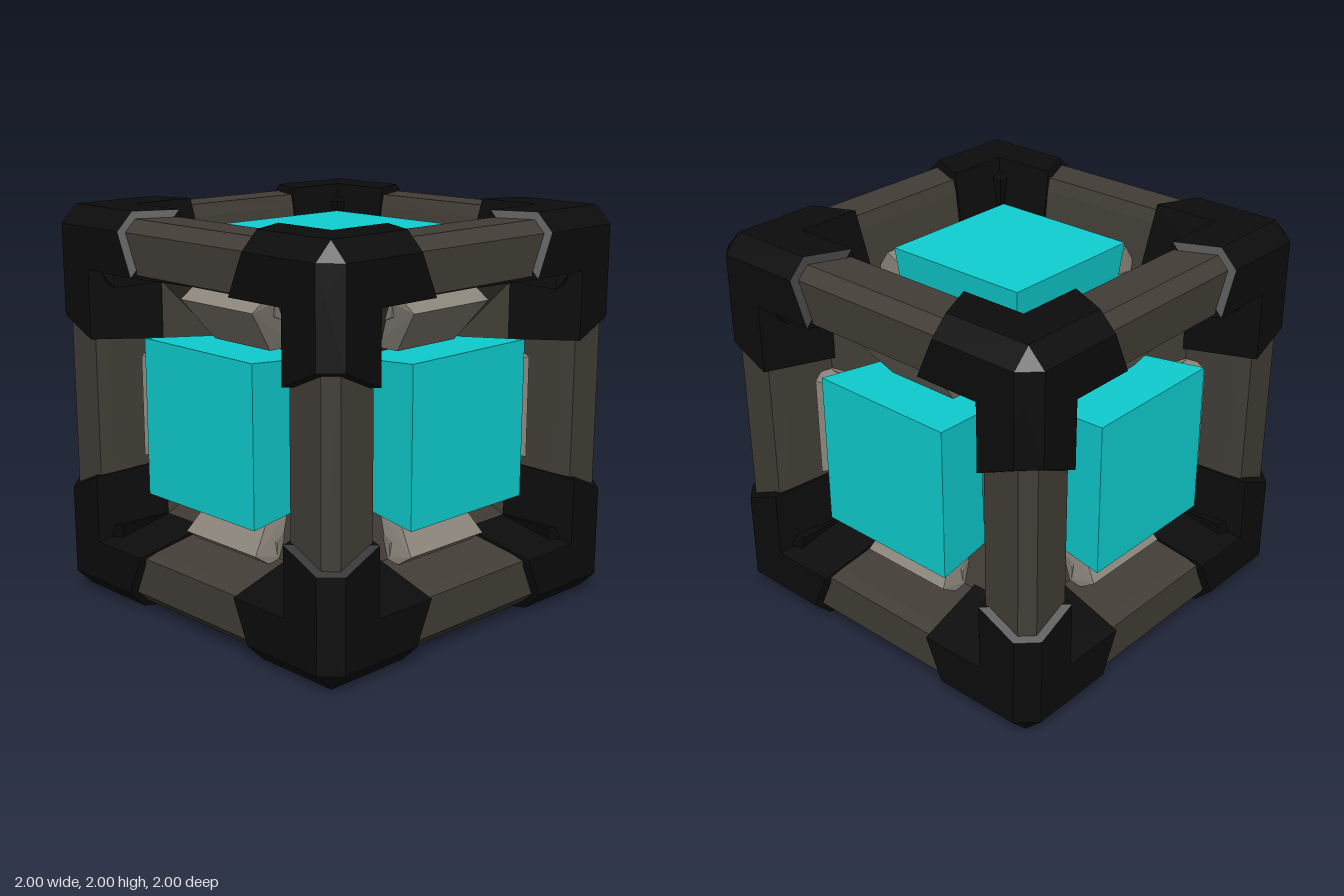
import * as THREE from 'three';
import { ConvexGeometry } from 'three/addons/geometries/ConvexGeometry.js';

const mat = (name, color, side = THREE.FrontSide) => {
  const m = new THREE.MeshStandardMaterial({ color, side });
  m.name = name;
  return m;
};

// Flat-shaded four-sided frustum along y, given half widths at top and bottom
function frustum(top, bottom, y0, y1, open) {
  const r = Math.SQRT2;
  const g = new THREE.CylinderGeometry(top * r, bottom * r, y1 - y0, 4, 1, open);
  g.rotateY(Math.PI / 4).translate(0, (y0 + y1) / 2, 0);
  const flat = g.toNonIndexed();
  flat.computeVertexNormals();
  return flat;
}

// Place a point given along an edge (a) and across it (p, q) on the chosen axis
function along(axis, a, p, q) {
  const c = [0, 0, 0];
  c[axis] = a;
  c[(axis + 1) % 3] = p;
  c[(axis + 2) % 3] = q;
  return new THREE.Vector3(...c);
}

export function createModel() {
  const black = mat('black armour', 0x0c0c0c);
  const brown = mat('dark brown metal', 0x423d36, THREE.DoubleSide);
  const grey = mat('warm grey metal', 0x8c867c);
  const cyan = mat('cyan panel', 0x0fd0d2);

  const model = new THREE.Group();
  const cube = new THREE.Group();
  cube.name = 'crate';
  cube.position.y = 1;
  model.add(cube);
  const add = (parent, name, geometry, material) => {
    const m = new THREE.Mesh(geometry, material);
    m.name = name;
    parent.add(m);
    return m;
  };

  // Cross-section of the edge beams, and of the corner sleeves with the end position at each point
  const beam = [[0.905, 0.965], [0.965, 0.905], [0.965, 0.71], [0.9, 0.688],
    [0.63, 0.63], [0.688, 0.9], [0.71, 0.965]];
  const sleeve = [[0.91, 1, 0.45], [1, 0.91, 0.45], [1, 0.7, 0.355], [0.61, 0.61, 0.32], [0.7, 1, 0.355]];

  for (let axis = 0; axis < 3; axis++) {
    for (const sp of [-1, 1]) for (const sq of [-1, 1]) {
      // Beam along one edge of the cube
      const pts = [];
      for (const [p, q] of beam)
        for (const a of [-0.55, 0.55]) pts.push(along(axis, a, p * sp, q * sq));
      add(cube, 'edgeBeam', new ConvexGeometry(pts), brown);

      // Corner sleeves wrapping both ends of the beam
      for (const s of [-1, 1]) {
        const arm = [along(axis, s, 0.91 * sp, 0.91 * sq)];
        for (const [p, q, end] of sleeve)
          for (const a of [end, 0.91]) arm.push(along(axis, a * s, p * sp, q * sq));
        add(cube, 'cornerSleeve', new ConvexGeometry(arm), black);
      }
    }
  }

  // Wedge bracket between panel and beam: half width, height, distance from the middle
  const wedgePoints = [];
  for (const [w, y, z] of [[0.26, 0.70, 0.64], [0.26, 0.78, 0.585], [0.2, 0.62, 0.38],
    [0.2, 0.45, 0.38], [0.26, 0.55, 0.64]])
    for (const s of [-1, 1]) wedgePoints.push(new THREE.Vector3(w * s, y, z));
  const wedgeGeo = new ConvexGeometry(wedgePoints);
  const recessGeo = frustum(0.63, 0.36, 0.5, 0.63, true);
  const panelGeo = frustum(0.393, 0.35, 0.45, 0.9, false);

  // Six identical sides: sunken recess, raised panel and four brackets
  const turns = [[0, 0], [Math.PI, 0], [Math.PI / 2, 0], [-Math.PI / 2, 0], [0, Math.PI / 2], [0, -Math.PI / 2]];
  for (const [rx, rz] of turns) {
    const side = new THREE.Group();
    side.name = 'side';
    side.rotation.set(rx, 0, rz);
    add(side, 'recess', recessGeo, brown);
    add(side, 'panel', panelGeo, cyan);
    for (let i = 0; i < 4; i++) add(side, 'bracket', wedgeGeo, grey).rotation.y = i * Math.PI / 2;
    cube.add(side);
  }
  return model;
}
